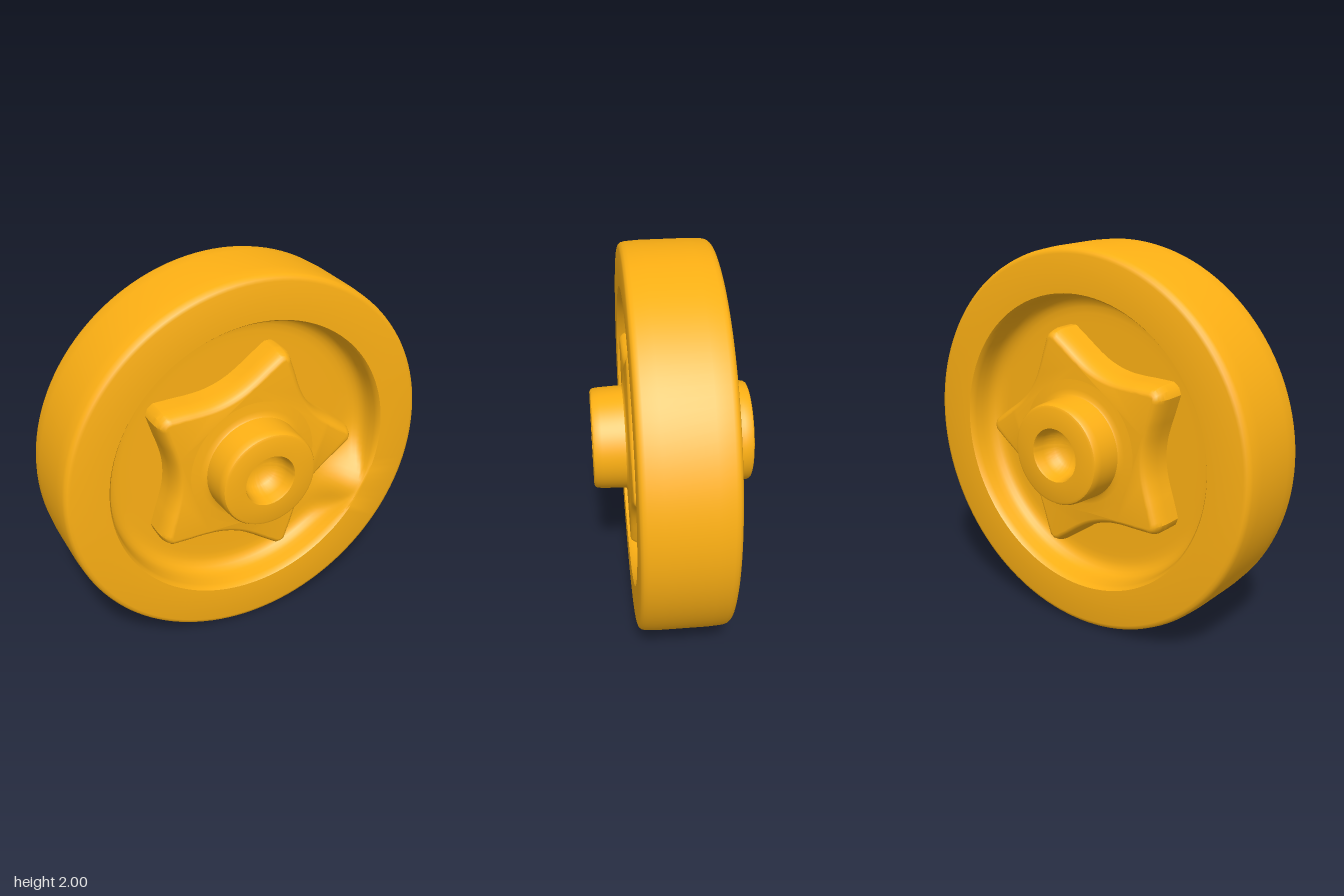
import * as THREE from 'three';
import { toCreasedNormals } from 'three/addons/utils/BufferGeometryUtils.js';

const material = new THREE.MeshStandardMaterial({ color: 0xfdb014 });
const FACE = 0.228; // half width of the wheel
const FLOOR = 0.05; // half thickness of the web inside the rim

// Closed lathe around z, mirrored front to back; half profile runs from the axis outward as [radius, z]
function mirroredLathe(half, segments) {
  const points = [
    ...half.map(([r, z]) => new THREE.Vector2(r, -z)),
    ...half.slice().reverse().map(([r, z]) => new THREE.Vector2(r, z)),
  ];
  return new THREE.LatheGeometry(points, segments).rotateX(Math.PI / 2);
}

function addPart(group, name, geometry, crease = 0.6) {
  const mesh = new THREE.Mesh(toCreasedNormals(geometry, crease), material);
  mesh.name = name;
  group.add(mesh);
}

// Wheel disc: dished on both faces with a raised rim
function wheelGeometry() {
  const geometry = mirroredLathe([
    [0, FLOOR], [0.4, FLOOR], [0.48, FLOOR], [0.54, FLOOR], [0.6, FLOOR], [0.65, FLOOR],
    [0.685, 0.052], [0.71, 0.06], [0.73, 0.074], [0.744, 0.093], [0.752, 0.118],
    [0.756, 0.15], [0.76, 0.19], [0.764, 0.213], [0.774, FACE], [0.965, FACE],
    [0.981, 0.223], [0.991, 0.211], [0.996, 0.193], [1, 0.12],
  ], 128);
  // Ramp where the front dish blends into the rim
  const p = geometry.attributes.position;
  for (let i = 0; i < p.count; i++) {
    const x = p.getX(i), y = p.getY(i), z = p.getZ(i);
    const r = Math.hypot(x, y);
    if (z < 0 || r > 0.77) continue;
    const near = Math.exp(-(((Math.atan2(y, x) + 0.5) / 0.23) ** 2));
    p.setZ(i, z + (FACE - z) * near * THREE.MathUtils.smoothstep(r, 0.5, 0.8));
  }
  return geometry;
}

// Five-pointed boss with blunt tips, concave sides and sloping flanks
function starGeometry() {
  const at = (r, degrees) => {
    const a = THREE.MathUtils.degToRad(degrees);
    return new THREE.Vector2(r * Math.cos(a), r * Math.sin(a));
  };
  const side = [[0.595, 3.5], [0.52, 11], [0.473, 17.5], [0.437, 26], [0.424, 36],
    [0.437, 46], [0.473, 54.5], [0.52, 61], [0.595, 68.5]];
  const shape = new THREE.Shape();
  shape.moveTo(...at(0.595, 3.5).toArray());
  for (let i = 0; i < 5; i++) {
    shape.splineThru(side.slice(1).map(([r, d]) => at(r, d + 72 * i)));
    shape.lineTo(...at(0.605, 72 * (i + 1)).toArray());
    if (i < 4) shape.lineTo(...at(0.595, 72 * (i + 1) + 3.5).toArray());
  }
  const bevel = 0.1;
  return new THREE.ExtrudeGeometry(shape, {
    depth: 2 * (FACE - bevel), bevelEnabled: true, bevelThickness: bevel,
    bevelSize: 0.04, bevelOffset: -0.04, bevelSegments: 6, curveSegments: 3,
  }).translate(0, 0, bevel - FACE);
}

// Hub: slightly tapered boss with a rounded blind hole in each end
function hubGeometry() {
  return mirroredLathe([
    [0, 0.26], [0.04, 0.263], [0.075, 0.273], [0.1, 0.29], [0.118, 0.315],
    [0.128, 0.35], [0.133, 0.395], [0.138, 0.407], [0.24, 0.407], [0.252, 0.402],
    [0.259, 0.39], [0.262, 0.36], [0.267, 0.242], [0.275, 0.236], [0.3, 0.232], [0.36, 0.227],
  ], 96);
}

export function createModel() {
  const wheel = new THREE.Group();
  wheel.name = 'wheel';
  addPart(wheel, 'rimAndDisc', wheelGeometry());
  addPart(wheel, 'starBoss', starGeometry());
  addPart(wheel, 'hub', hubGeometry());
  wheel.position.y = 1;

  const model = new THREE.Group();
  model.name = 'starWheel';
  model.add(wheel);
  return model;
}
